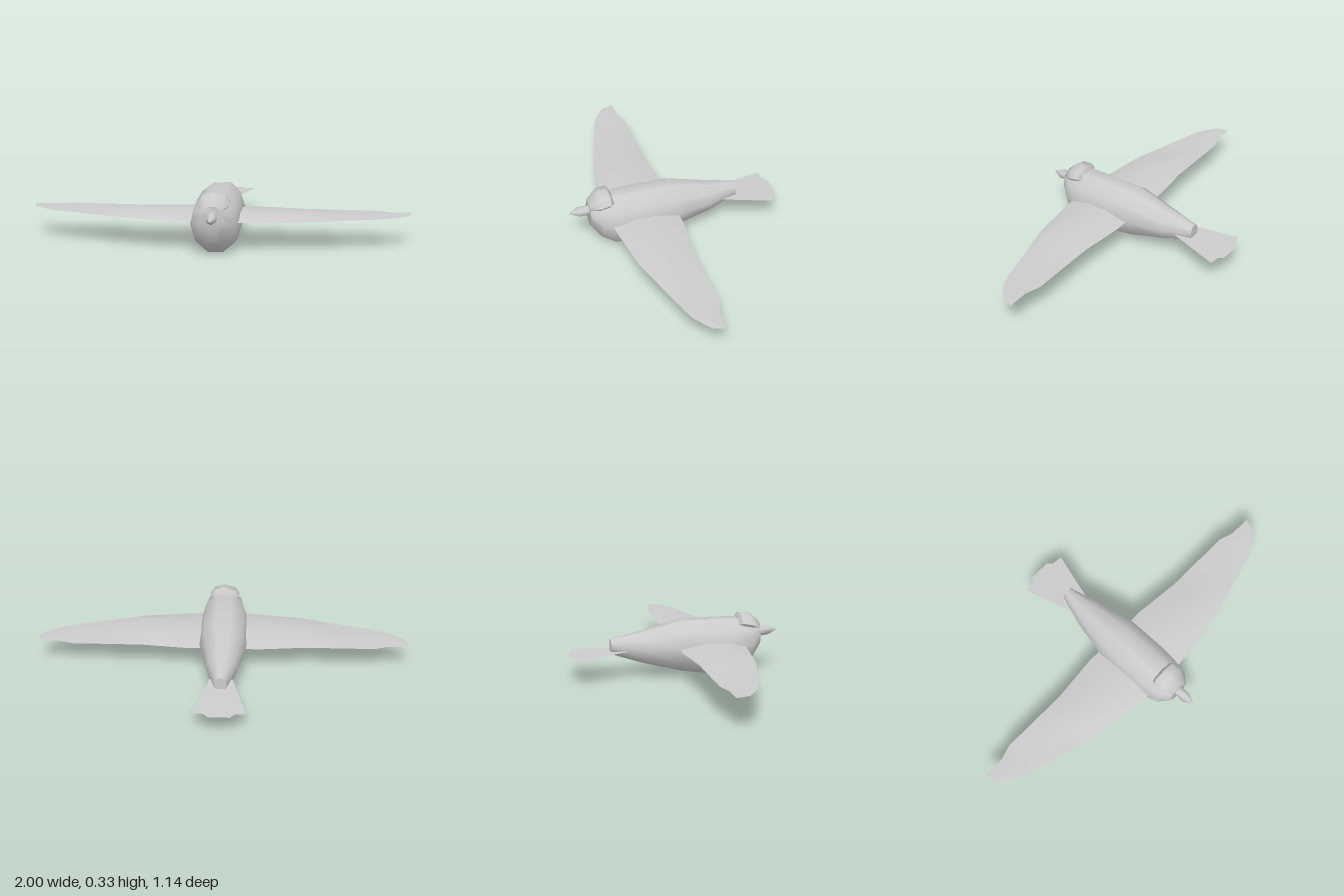
import * as THREE from 'three';
import { toCreasedNormals } from 'three/addons/utils/BufferGeometryUtils.js';

// Skin a list of equal-length rings and close both ends with fans
function loft(rings, crease) {
  const n = rings[0].length, pos = rings.flat(2), idx = [];
  for (let i = 0; i < rings.length - 1; i++) {
    for (let j = 0; j < n; j++) {
      const a = i * n + j, b = i * n + (j + 1) % n;
      idx.push(a, a + n, b, b, a + n, b + n);
    }
  }
  const last = (rings.length - 1) * n;
  for (let j = 1; j < n - 1; j++) {
    idx.push(0, j, j + 1, last, last + j + 1, last + j);
  }
  const geo = new THREE.BufferGeometry();
  geo.setAttribute('position', new THREE.Float32BufferAttribute(pos, 3));
  geo.setIndex(idx);
  return toCreasedNormals(geo, crease);
}

// Oval cross-section in the xy plane whose corners span y from lo to hi
function ovalRing(sides, [z, lo, hi, halfWidth]) {
  const angles = Array.from({ length: sides }, (_, j) => j / sides * Math.PI * 2);
  const peak = Math.max(...angles.map(Math.sin));
  return angles.map(a => [
    Math.cos(a) * halfWidth,
    (lo + hi) / 2 + Math.sin(a) / peak * (hi - lo) / 2,
    z,
  ]);
}

export function createModel() {
  const group = new THREE.Group();
  const material = new THREE.MeshStandardMaterial({ color: 0xcccccc });
  const add = (name, geo, mat = material) => {
    const mesh = new THREE.Mesh(geo, mat);
    mesh.name = name;
    group.add(mesh);
    return mesh;
  };

  // Body sections from breast to rump: z, bottom, top, half width
  const body = [
    [0.46, 0.135, 0.27, 0.06],
    [0.405, 0.055, 0.285, 0.108],
    [0.325, 0, 0.297, 0.128],
    [0.22, 0, 0.298, 0.134],
    [0.03, 0.03, 0.298, 0.128],
    [-0.19, 0.085, 0.245, 0.082],
    [-0.35, 0.137, 0.216, 0.033],
  ];
  add('body', loft(body.map(s => ovalRing(10, s)), 0.95));

  // Head sections from face to nape
  const head = [
    [0.46, 0.215, 0.275, 0.048],
    [0.405, 0.21, 0.326, 0.08],
    [0.355, 0.232, 0.326, 0.08],
    [0.335, 0.25, 0.295, 0.06],
  ];
  add('head', loft(head.map(s => ovalRing(8, s)), 0.95));

  // Beak: six-sided stub with a pointed tip
  const profile = [[0, 0.44], [0.027, 0.44], [0.027, 0.515], [0, 0.567]]
    .map(([r, z]) => new THREE.Vector2(r, z));
  const beak = new THREE.LatheGeometry(profile, 6).rotateX(Math.PI / 2);
  add('beak', toCreasedNormals(beak, 1.1)).position.y = 0.218;

  // Wings: x, trailing z, rear ridge z, front ridge z, leading z, thickness
  const wing = [
    [1, 0.05, 0.055, 0.065, 0.07, 0.002],
    [0.98, 0.05, 0.07, 0.1, 0.125, 0.002],
    [0.89, 0.05, 0.09, 0.14, 0.187, 0.002],
    [0.81, 0.025, 0.09, 0.16, 0.214, 0.002],
    [0.61, 0.025, 0.11, 0.2, 0.27, 0.003],
    [0.44, 0.025, 0.13, 0.25, 0.318, 0.025],
    [0.19, 0, 0.13, 0.25, 0.35, 0.025],
    [0, 0.005, 0.13, 0.25, 0.366, 0.025],
  ];
  const base = 0.165;
  const section = (side, [x, te, rear, front, le, t]) => [
    [side * x, base, te],
    [side * x, base + t, rear],
    [side * x, base + t, front],
    [side * x, base, le],
  ];
  add('leftWing', loft(wing.map(s => section(1, s)), 0.6));
  add('rightWing', loft([...wing].reverse().map(s => section(-1, s)), 0.6));

  // Tail: thin notched fan, sloping down to the rear
  const fan = new THREE.Shape([
    [0.06, -0.27], [0.135, -0.54], [0.08, -0.545], [0.055, -0.57],
    [-0.055, -0.57], [-0.08, -0.545], [-0.135, -0.54], [-0.06, -0.27],
  ].map(([x, z]) => new THREE.Vector2(x, -z)));
  const tail = new THREE.ShapeGeometry(fan).rotateX(-Math.PI / 2);
  const p = tail.attributes.position;
  for (let i = 0; i < p.count; i++) p.setY(i, 0.157 + (p.getZ(i) + 0.27) * 0.07);
  tail.computeVertexNormals();
  add('tail', tail, new THREE.MeshStandardMaterial({ color: 0xcccccc, side: THREE.DoubleSide }));

  return group;
}
